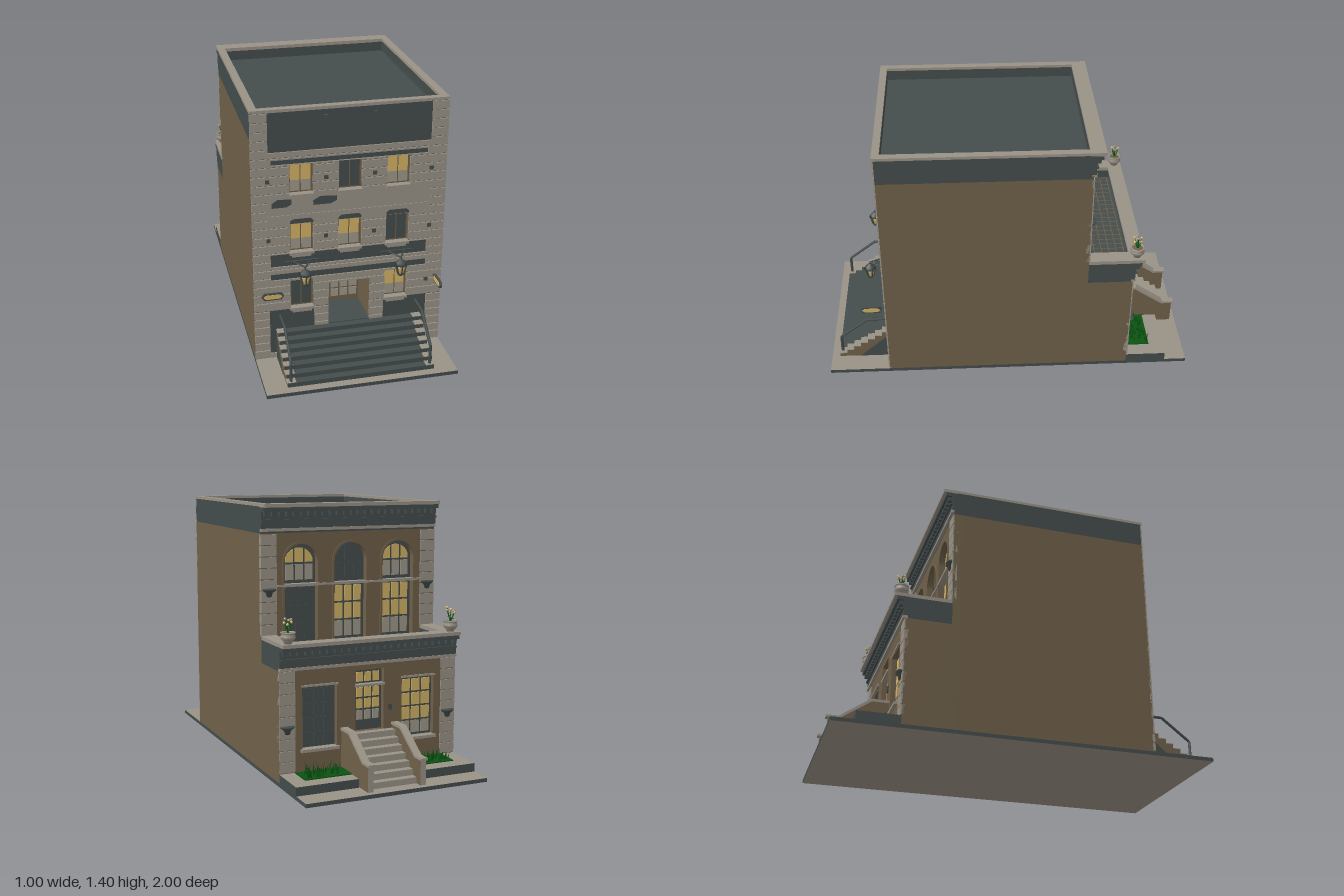
import * as THREE from 'three';
import { mergeGeometries } from 'three/addons/utils/BufferGeometryUtils.js';

const mat = (name, color, side = THREE.FrontSide) => {
  const m = new THREE.MeshStandardMaterial({ color, side });
  m.name = name;
  return m;
};

export function createModel() {
  const stone = mat('stone', 0x999286), slate = mat('slate', 0x444c4c), brown = mat('brown wall', 0x6f6049);
  const gold = mat('lit glass', 0xd2b264), haze = mat('hazy glass', 0x9f988a), green = mat('leaf green', 0x0b5411, THREE.DoubleSide);
  const root = new THREE.Group();
  root.name = 'townHouse';
  const rear = new THREE.Group(); // local +z is the back of the house
  rear.name = 'rear';
  rear.rotation.y = Math.PI;
  root.add(rear);

  const add = (p, name, geo, m) => {
    const mesh = new THREE.Mesh(geo, m);
    mesh.name = name;
    p.add(mesh);
    return mesh;
  };
  // box from its limits
  const boxGeo = (x0, x1, y0, y1, z0, z1) =>
    new THREE.BoxGeometry(x1 - x0, y1 - y0, z1 - z0).translate((x0 + x1) / 2, (y0 + y1) / 2, (z0 + z1) / 2);
  const box = (p, name, m, ...b) => add(p, name, boxGeo(...b), m);
  // rod through a list of points
  const rod = (p, name, m, pts, r) => {
    const path = new THREE.CurvePath();
    for (let i = 1; i < pts.length; i++)
      path.add(new THREE.LineCurve3(new THREE.Vector3(...pts[i - 1]), new THREE.Vector3(...pts[i])));
    return add(p, name, new THREE.TubeGeometry(path, 12 * (pts.length - 1), r, 6), m);
  };
  const lathe = (p, name, m, pts, x, y, z, n = 16) => {
    const mesh = add(p, name, new THREE.LatheGeometry(pts.map(a => new THREE.Vector2(...a)), n), m);
    mesh.position.set(x, y, z);
    return mesh;
  };
  const poly = pts => new THREE.Shape(pts.map(a => new THREE.Vector2(...a)));
  const rect = (x0, x1, y0, y1) => poly([[x0, y0], [x1, y0], [x1, y1], [x0, y1]]);
  const arch = (x, r, y0, spring) => {
    const s = new THREE.Shape();
    s.moveTo(x - r, y0).lineTo(x + r, y0).lineTo(x + r, spring).absarc(x, spring, r, 0, Math.PI, false);
    return s;
  };
  const plate = (shape, z0, z1, holes = []) => {
    shape.holes = holes;
    return new THREE.ExtrudeGeometry(shape, { depth: z1 - z0, bevelEnabled: false, curveSegments: 16 }).translate(0, 0, z0);
  };
  // side profile given as [z, y], spanning x0..x1
  const profile = (pts, x0, x1) =>
    plate(poly(pts), 0, x1 - x0).rotateY(-Math.PI / 2).translate(x1, 0, 0);
  // stone courses, interrupted by [x0, x1, y0, y1] cuts
  const courses = (p, name, x0, x1, y0, y1, rows, z0, z1, cuts = []) => {
    const parts = [], h = (y1 - y0) / rows;
    for (let i = 0; i < rows; i++) {
      const a = y0 + i * h, b = a + h - 0.0045;
      const edges = [a, b, ...cuts.flatMap(c => [c[2], c[3]])].filter(y => y >= a && y <= b).sort((u, v) => u - v);
      for (let k = 1; k < edges.length; k++) {
        const lo = edges[k - 1], hi = edges[k];
        if (hi - lo < 0.002) continue;
        let spans = [[x0, x1]];
        for (const c of cuts) if (c[2] < hi - 0.001 && c[3] > lo + 0.001)
          spans = spans.flatMap(([s, e]) => [[s, Math.min(e, c[0])], [Math.max(s, c[1]), e]]).filter(([s, e]) => e - s > 0.002);
        for (const [s, e] of spans) parts.push(boxGeo(s, e, lo, hi, z0, z1));
      }
    }
    add(p, name, mergeGeometries(parts), stone);
  };
  const stairs = (z0, y0, run, rise, n) => {
    const pts = [[z0 - n * run, 0.02], [z0, 0.02]];
    for (let i = 0; i < n; i++) pts.push([z0 - i * run, y0 + (i + 1) * rise], [z0 - (i + 1) * run, y0 + (i + 1) * rise]);
    return pts;
  };

  // pavement and main masses
  box(root, 'pavement', [slate, slate, stone, stone, slate, slate], -0.5, 0.5, 0, 0.02, -1, 1);
  box(root, 'mainBlock', brown, -0.5, 0.5, 0.02, 1.25, -0.38, 0.44);
  box(root, 'rearBlock', brown, -0.5, 0.5, 0.02, 0.59, -0.62, -0.38);

  // roof parapet and coping
  box(root, 'roofDeck', slate, -0.46, 0.46, 1.25, 1.33, -0.4, 0.64);
  for (const s of [-1, 1]) {
    const [a, b] = s > 0 ? [0.46, 0.5] : [-0.5, -0.46];
    box(root, 'sideParapet', slate, a, b, 1.25, 1.385, -0.42, 0.668);
    box(root, 'sideCoping', stone, a, b, 1.385, 1.4, -0.4, 0.64);
    const [c, d] = s > 0 ? [0.42, 0.5] : [-0.5, -0.42];
    box(root, 'terraceParapet', slate, c, d, 0.59, 0.71, -0.66, -0.42);
    box(root, 'terraceCoping', stone, c, d, 0.71, 0.73, -0.64, -0.42);
  }
  box(root, 'frontParapet', slate, -0.46, 0.46, 1.25, 1.385, 0.64, 0.668);
  box(root, 'rearParapet', slate, -0.46, 0.46, 1.25, 1.385, -0.42, -0.4);
  box(root, 'frontCoping', stone, -0.5, 0.5, 1.385, 1.4, 0.64, 0.678);

  // front wall with openings
  const wins = [[-0.25, 0.31, 0], [0.25, 0.31, 1], [-0.25, 0.63, 1], [0, 0.63, 1], [0.25, 0.63, 0], [-0.25, 0.95, 1], [0, 0.95, 0], [0.25, 0.95, 1]];
  const holes = wins.map(([x, y]) => [x - 0.06, x + 0.06, y, y + 0.16]);
  holes.push([-0.11, 0.11, 0.19, 0.435]);
  add(root, 'frontWall', plate(rect(-0.5, 0.5, 0.02, 1.25), 0.44, 0.668, holes.map(h => rect(...h))), [slate, brown]);
  const panels = [[-0.415, 0.415, 1.178, 1.383], [-0.4, 0.4, 1.112, 1.138], [-0.42, 0.42, 0.8, 0.935], [-0.41, 0.41, 0.555, 0.625],
    [-0.41, 0.41, 0.48, 0.515], [-0.42, -0.185, 0.05, 0.3], [0.185, 0.42, 0.05, 0.3], [-0.36, 0.36, 0.02, 0.19]];
  courses(root, 'frontCourses', -0.5, 0.5, 0.025, 1.385, 29, 0.66, 0.675, [...holes, ...panels]);
  box(root, 'smoothBand', stone, -0.42, 0.42, 0.8, 0.935, 0.66, 0.6745);
  box(root, 'stringCourse', stone, -0.42, 0.42, 0.835, 0.842, 0.66, 0.678);
  for (const [x, w] of [[-0.35, 0.05], [-0.13, 0.06]])
    add(root, 'bandPatch', plate(poly([[x - w, 0.885], [x + w * 0.5, 0.885], [x + w, 0.9], [x + w, 0.925], [x - w * 0.4, 0.93], [x - w, 0.91]]), 0.672, 0.676), slate);
  for (const x of [-0.25, 0, 0.25])
    add(root, 'headPatch', plate(poly([[x - 0.06, 0.792], [x + 0.06, 0.792], [x + 0.06, 0.803], [x + 0.045, 0.816], [x - 0.045, 0.816], [x - 0.06, 0.803]]), 0.672, 0.676), slate);

  // front windows
  for (const [x, y, lit] of wins) {
    const g = new THREE.Group();
    g.name = 'frontWindow';
    root.add(g);
    box(g, 'windowFrame', brown, x - 0.06, x + 0.06, y, y + 0.16, 0.638, 0.648);
    for (const c of [-0.0275, 0.0275]) {
      const a = x + c - 0.0245, b = x + c + 0.0245, mid = y + 0.068;
      box(g, 'upperPane', lit ? gold : slate, a, b, lit ? mid : y + 0.01, y + 0.154, 0.645, 0.651);
      if (lit) box(g, 'lowerPane', haze, a, b, y + 0.01, mid, 0.645, 0.651);
    }
    box(g, 'sill', stone, x - 0.063, x + 0.063, y - 0.012, y + 0.002, 0.64, 0.684);
    box(g, 'apron', stone, x - 0.05, x + 0.05, y - 0.026, y - 0.012, 0.66, 0.678);
  }

  // front door in its deep recess
  box(root, 'doorLeaf', brown, -0.11, 0.11, 0.19, 0.435, 0.44, 0.45);
  for (let r = 0; r < 4; r++) for (let c = 0; c < 4; c++) {
    const x = -0.077 + c * 0.0513, y = 0.222 + r * 0.054;
    box(root, 'doorPane', r > 1 ? gold : haze, x - 0.021, x + 0.021, y, y + 0.045, 0.448, 0.454);
  }
  box(root, 'landing', slate, -0.11, 0.11, 0.18, 0.194, 0.445, 0.672);

  // front steps with stone tread ends and handrails
  add(root, 'frontSteps', profile(stairs(0.955, 0.02, 0.0407, 0.0243, 7), -0.385, 0.385), [brown, slate]);
  for (const s of [-1, 1]) {
    const x = s * 0.365;
    for (let i = 0; i < 7; i++) {
      const z = 0.955 - i * 0.0407, y = 0.02 + (i + 1) * 0.0243;
      box(root, 'treadEnd', stone, x - 0.024, x + 0.024, y - 0.001, y + 0.003, z - 0.0407, z);
    }
    add(root, 'stepSidePanel', profile([[0.67, 0.02], [0.84, 0.02], [0.67, 0.17]], s * 0.385 - 0.002, s * 0.385 + 0.002), slate);
    rod(root, 'handrail', slate, [[x, 0.04, 0.94], [x, 0.15, 0.94], [x, 0.27, 0.785], [x, 0.27, 0.67]], 0.008);
  }

  // street lanterns
  for (const x of [-0.25, 0.25]) {
    const z = 0.757;
    rod(root, 'lanternBar', slate, [[x - 0.085, 0.582, 0.676], [x + 0.085, 0.582, 0.676]], 0.004);
    for (const s of [-1, 1]) rod(root, 'lanternBracket', slate, [[x + s * 0.045, 0.58, 0.67], [x, 0.582, z]], 0.004);
    rod(root, 'lanternArm', slate, [[x, 0.55, 0.67], [x, 0.582, z], [x, 0.56, z]], 0.004);
    lathe(root, 'lanternRoof', slate, [[0, 0], [0.034, 0], [0.026, 0.016], [0.01, 0.028], [0, 0.034]], x, 0.54, z, 6);
    lathe(root, 'lanternGlass', gold, [[0, 0], [0.014, 0], [0.028, 0.055], [0, 0.055]], x, 0.487, z, 6);
    lathe(root, 'lanternFoot', slate, [[0, -0.014], [0.012, -0.008], [0.018, 0], [0.018, 0.006], [0, 0.006]], x, 0.488, z, 6);
    for (let i = 0; i < 6; i++) {
      const a = i * Math.PI / 3, sx = Math.sin(a), cz = Math.cos(a);
      rod(root, 'lanternUpright', slate, [[x + 0.015 * sx, 0.487, z + 0.015 * cz], [x + 0.03 * sx, 0.542, z + 0.03 * cz]], 0.004);
    }
  }

  // blank signs: one flat on the wall, one projecting
  const lozenge = (w, h) => poly([[-w, 0], [-w + 0.013, h], [w - 0.013, h], [w, 0], [w - 0.013, -h], [-w + 0.013, -h]]);
  for (const [x, y, z, ry] of [[-0.405, 0.395, 0.683, 0], [0.456, 0.415, 0.748, Math.PI / 2]]) {
    const g = new THREE.Group();
    g.name = 'sign';
    g.position.set(x, y, z);
    g.rotation.y = ry;
    root.add(g);
    add(g, 'signBoard', plate(lozenge(0.058, 0.019), -0.006, 0.006), slate);
    add(g, 'signFace', plate(lozenge(0.049, 0.012), -0.008, 0.008), gold);
  }
  rod(root, 'signArm', slate, [[0.456, 0.415, 0.67], [0.456, 0.415, 0.7]], 0.004);

  // wall anchors
  for (const [x, y] of [[-0.42, 1.03], [-0.125, 1.03], [0.125, 1.03], [0.42, 1.03], [-0.42, 0.71], [-0.125, 0.71], [0.125, 0.71], [0.42, 0.71], [-0.125, 1.345], [0.125, 1.345], [0.415, 0.395]])
    box(root, 'wallAnchor', slate, x - 0.01, x + 0.01, y - 0.01, y + 0.01, 0.665, 0.68);

  // rear walls with arched and square openings
  const bays = [-0.28, 0, 0.28];
  add(rear, 'upperRearWall', plate(rect(-0.5, 0.5, 0.59, 1.25), 0.38, 0.42, bays.map(x => arch(x, 0.092, 0.68, 1.1))), brown);
  const lowHoles = [[-0.375, -0.185, 0.18, 0.5], [-0.08, 0.08, 0.24, 0.56], [0.185, 0.375, 0.18, 0.5]];
  add(rear, 'lowerRearWall', plate(rect(-0.5, 0.5, 0.02, 0.59), 0.62, 0.66, lowHoles.map(h => rect(...h))), brown);

  // rows of panes, optionally trimmed under an arch
  const panes = (x, w, y0, y1, cols, rows, z, m, base = m, spring = 9) => {
    const cw = w / cols, rh = (y1 - y0) / rows;
    for (let c = 0; c < cols; c++) for (let r = 0; r < rows; r++) {
      const a = x - w / 2 + c * cw + 0.005, b = a + cw - 0.01, lo = y0 + r * rh + 0.005, hi = lo + rh - 0.01;
      const top = u => Math.min(hi, spring + Math.sqrt(Math.max(0, w * w / 4 - (u - x) ** 2)) - 0.008);
      const pts = [[a, lo], [b, lo]];
      for (let k = 0; k <= 4; k++) pts.push([b + (a - b) * k / 4, top(b + (a - b) * k / 4)]);
      add(rear, 'pane', plate(poly(pts), z, z + 0.005), r ? m : base);
    }
  };
  bays.forEach((x, i) => {
    add(rear, 'archedFrame', plate(arch(x, 0.092, 0.68, 1.1), 0.381, 0.39), slate);
    const up = [gold, slate, gold][i], low = [slate, gold, gold][i];
    panes(x, 0.16, 1.0, 1.182, 3, 2, 0.389, up, up === gold ? haze : slate, 1.1);
    panes(x, 0.16, 0.69, 0.97, 3, 3, 0.389, low, low === gold ? haze : slate);
    add(rear, 'archMoulding', plate(arch(x, 0.104, 0.68, 1.1), 0.418, 0.426, [arch(x, 0.092, 0.68, 1.1)]), brown);
    box(rear, 'archSill', stone, x - 0.1, x + 0.1, 0.974, 0.988, 0.38, 0.43);
  });
  box(rear, 'middleLedge', stone, -0.42, 0.42, 0.976, 0.986, 0.41, 0.428);

  // lower rear windows and door
  for (const [x, m] of [[-0.28, slate], [0.28, gold]]) {
    box(rear, 'rearWindowFrame', slate, x - 0.095, x + 0.095, 0.18, 0.5, 0.621, 0.632);
    panes(x, 0.175, 0.19, 0.49, 3, 4, 0.631, m, m === gold ? haze : slate);
    box(rear, 'rearSill', stone, x - 0.105, x + 0.105, 0.167, 0.182, 0.62, 0.678);
    box(rear, 'rearLintel', stone, x - 0.1, x + 0.1, 0.5, 0.51, 0.65, 0.668);
  }
  box(rear, 'rearDoor', slate, -0.08, 0.08, 0.24, 0.56, 0.621, 0.632);
  panes(0, 0.14, 0.49, 0.55, 3, 1, 0.631, gold);
  panes(0, 0.14, 0.29, 0.47, 3, 3, 0.631, gold, haze);
  box(rear, 'doorHood', stone, -0.085, 0.085, 0.474, 0.486, 0.62, 0.665);
  box(rear, 'doorBell', slate, 0.105, 0.125, 0.34, 0.37, 0.655, 0.668);

  // corner quoins, cornices and wall sconces
  for (const s of [-1, 1]) {
    const [a, b] = s > 0 ? [0.415, 0.5] : [-0.5, -0.415];
    courses(rear, 'upperQuoins', a, b, 0.73, 1.25, 9, 0.4, 0.426);
    courses(rear, 'lowerQuoins', a, b, 0.07, 0.59, 9, 0.64, 0.666);
    for (const [y, z] of [[0.925, 0.426], [0.265, 0.666]])
      lathe(rear, 'sconce', slate, [[0, 0], [0.009, 0.004], [0.014, 0.025], [0.026, 0.036], [0.026, 0.046], [0, 0.046]], s * 0.457, y, z, 12).scale.x = 1.4;
  }
  const cornice = (y, z) => {
    const g = new THREE.Group();
    g.name = 'cornice';
    rear.add(g);
    box(g, 'corniceCap', stone, -0.5, 0.5, y - 0.018, y, z - 0.02, z + 0.06);
    box(g, 'corniceUpper', slate, -0.5, 0.5, y - 0.04, y - 0.018, z - 0.01, z + 0.045);
    box(g, 'corniceFrieze', slate, -0.5, 0.5, y - 0.125, y - 0.04, z - 0.01, z + 0.012);
    box(g, 'corniceMoulding', stone, -0.5, 0.5, y - 0.14, y - 0.125, z - 0.01, z + 0.016);
    box(g, 'corniceBead', slate, -0.5, 0.5, y - 0.09, y - 0.08, z, z + 0.022);
    for (let i = 0; i < 25; i++) box(g, 'dentil', slate, -0.49 + i * 0.04, -0.47 + i * 0.04, y - 0.065, y - 0.04, z, z + 0.034);
  };
  cornice(1.4, 0.42);
  cornice(0.73, 0.66);

  // terrace floor with tile joints
  box(rear, 'terraceFloor', slate, -0.42, 0.42, 0.59, 0.66, 0.42, 0.65);
  for (let i = 0; i <= 20; i++) box(rear, 'tileJoint', brown, -0.422 + i * 0.042, -0.418 + i * 0.042, 0.658, 0.662, 0.42, 0.64);
  for (let i = 0; i < 6; i++) box(rear, 'tileJoint', brown, -0.42, 0.42, 0.658, 0.662, 0.43 + i * 0.04, 0.434 + i * 0.04);

  // rear stoop
  add(rear, 'stoopSteps', profile(stairs(0.93, 0.02, 0.0386, 0.0314, 7), -0.13, 0.13), stone);
  for (const x of [-0.145, 0.145]) {
    add(rear, 'stoopWall', profile([[0.66, 0.02], [0.97, 0.02], [0.97, 0.15], [0.91, 0.15], [0.75, 0.26], [0.66, 0.26]], x - 0.015, x + 0.015), [brown, stone]);
    add(rear, 'stoopCoping', profile([[0.66, 0.258], [0.75, 0.258], [0.91, 0.148], [0.98, 0.148], [0.98, 0.16], [0.915, 0.16], [0.755, 0.272], [0.66, 0.272]], x - 0.019, x + 0.019), stone);
  }

  // planting beds and potted flowers
  let seed = 7;
  const rnd = () => (seed = (seed * 16807) % 2147483647) / 2147483647;
  for (const s of [-1, 1]) {
    const [a, b] = s > 0 ? [0.165, 0.5] : [-0.5, -0.165];
    box(rear, 'planter', [slate, slate, stone, stone, slate, slate], a, b, 0.02, 0.065, 0.66, 0.88);
    box(rear, 'bed', green, s > 0 ? 0.165 : -0.42, s > 0 ? 0.42 : -0.165, 0.06, 0.07, 0.67, 0.8);
    for (let i = 0; i < 45; i++) {
      const h = 0.03 + rnd() * 0.04;
      const blade = add(rear, 'grassBlade', new THREE.ConeGeometry(0.005, h, 4).translate(0, h / 2, 0), green);
      blade.position.set(s * (0.19 + rnd() * 0.21), 0.066, 0.7 + rnd() * 0.09);
      blade.rotation.set((rnd() - 0.5) * 0.8, 0, (rnd() - 0.5) * 0.8);
    }
    const x = s * 0.458, z = 0.68;
    lathe(rear, 'pot', stone, [[0, 0], [0.02, 0], [0.02, 0.006], [0.036, 0.025], [0.038, 0.038], [0.03, 0.048], [0.038, 0.052], [0.038, 0.058], [0.03, 0.058], [0.028, 0.05]], x, 0.73, z);
    lathe(rear, 'potSoil', brown, [[0.029, 0], [0, 0.003]], x, 0.782, z);
    for (let i = 0; i < 6; i++) {
      const t = i * 1.05, r = 0.012 + rnd() * 0.012, h = 0.825 + rnd() * 0.035;
      const tip = [x + r * Math.cos(t), h, z + r * Math.sin(t)];
      rod(rear, 'stem', green, [[x, 0.775, z], tip], 0.0018);
      add(rear, 'flower', new THREE.IcosahedronGeometry(0.008, 0).translate(...tip), i % 3 ? gold : stone);
      const leaf = add(rear, 'leaf', new THREE.SphereGeometry(0.008, 6, 4).scale(1, 0.3, 0.5), green);
      leaf.position.set(x + 0.01 * Math.cos(t), 0.795 + i * 0.004, z + 0.01 * Math.sin(t));
      leaf.rotation.y = -t;
    }
  }
  return root;
}
